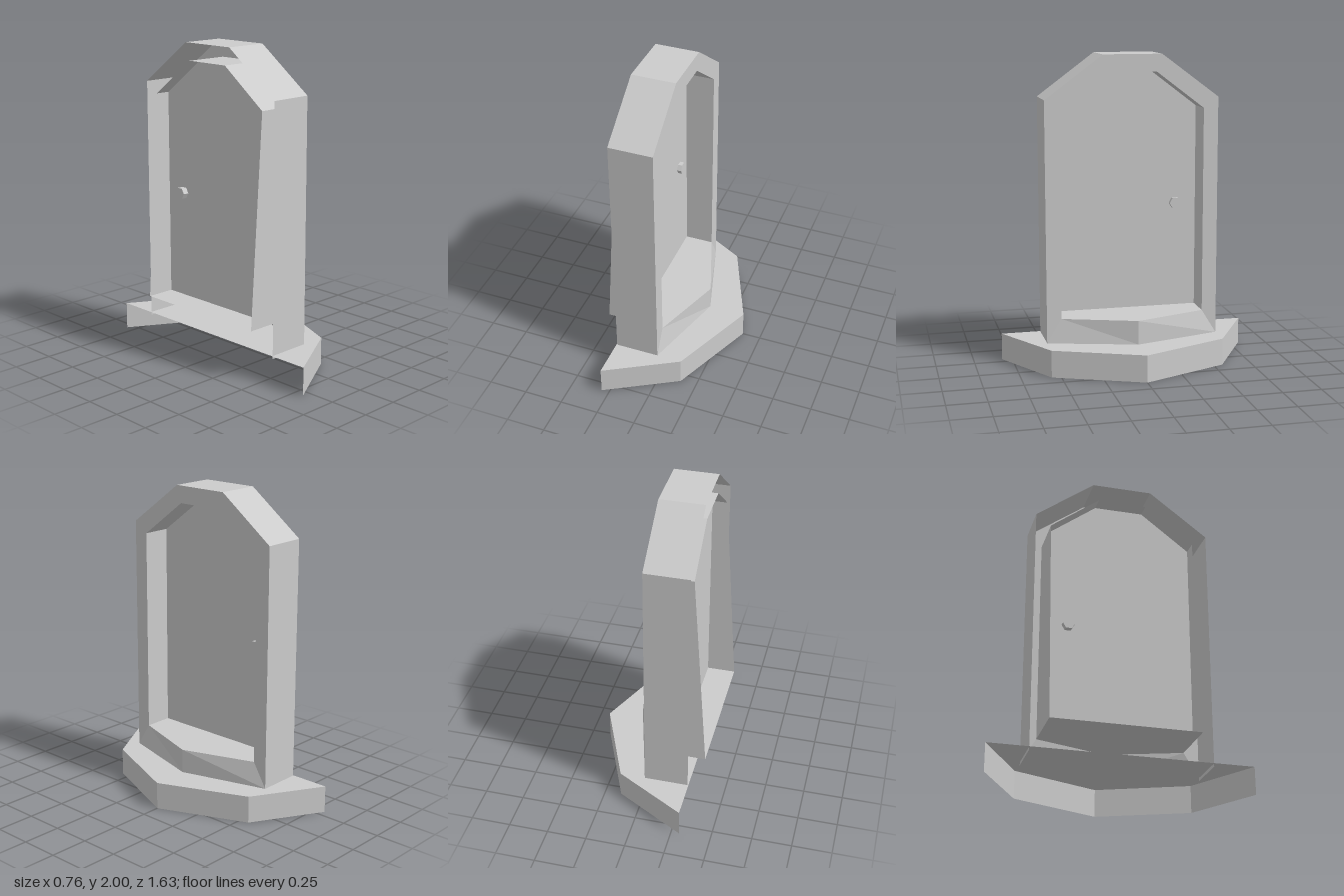
import * as THREE from 'three';

const material = new THREE.MeshStandardMaterial({
  color: 0xcccccc, flatShading: true, side: THREE.DoubleSide,
});

// Strip of flat panels joining two point rows of equal length
function ribbon(a, b) {
  const pos = [];
  for (let i = 0; i < a.length - 1; i++) {
    pos.push(...a[i], ...b[i], ...b[i + 1], ...a[i], ...b[i + 1], ...a[i + 1]);
  }
  const g = new THREE.BufferGeometry();
  g.setAttribute('position', new THREE.Float32BufferAttribute(pos, 3));
  g.computeVertexNormals();
  return g;
}

// Flat outline given as [z, y], facing +x
function panel(points, x) {
  const shape = new THREE.Shape(points.map(([z, y]) => new THREE.Vector2(-z, y)));
  return new THREE.ShapeGeometry(shape).rotateY(Math.PI / 2).translate(x, 0, 0);
}

// Flat outline given as [x, z], facing up
function slab(points, y) {
  const shape = new THREE.Shape(points.map(([x, z]) => new THREE.Vector2(x, -z)));
  return new THREE.ShapeGeometry(shape).rotateX(-Math.PI / 2).translate(0, y, 0);
}

// Arch half profile [z, y] from foot to crown, mirrored into a full arch
const arch = (half) => [...half, ...half.map(([z, y]) => [-z, y]).reverse()];

export function createModel() {
  const model = new THREE.Group();
  const add = (name, geometry) => {
    const mesh = new THREE.Mesh(geometry, material);
    mesh.name = name;
    model.add(mesh);
    return mesh;
  };

  const front = -0.015, back = -0.295, doorX = -0.2;
  const baseY = 0.175, sillY = 0.33;

  // Faceted plinth, open below and behind
  const plinth = [[-0.3, 0.815], [0.145, 0.56], [0.38, 0], [0.145, -0.56], [-0.3, -0.815]];
  add('plinthTop', slab(plinth, baseY));
  add('plinthSides', ribbon(
    plinth.map(([x, z]) => [x, baseY, z]),
    plinth.map(([x, z]) => [x, 0, z])));

  // Outer casing of the door frame
  const outer = arch([[0.56, 0.155], [0.56, 1.725], [0.19, 2]]);
  add('frameCasing', ribbon(
    outer.map(([z, y]) => [back, y, z]),
    outer.map(([z, y]) => [front, y, z])));

  // Front face of the frame, with feet splayed around the step
  const inner = arch([[0.465, sillY], [0.465, 1.655], [0.155, 1.89]]);
  const rim = arch([[0.56, baseY], [0.56, 1.725], [0.19, 2]]);
  add('frameFace', panel([...rim, ...[...inner].reverse()], front));

  // Doorway lining, its rear edge sloping outward to the sill
  const lining = [...inner, inner[0]];
  add('doorwayLining', ribbon(
    lining.map(([z, y]) => [front, y, z]),
    lining.map(([z, y]) => [y === sillY ? -0.385 : back - 0.002, y, z])));

  // Door leaf and hexagonal knob through it
  add('door', panel(inner, doorX));
  const knob = add('doorKnob', new THREE.CylinderGeometry(0.038, 0.038, 0.066, 6)
    .rotateZ(Math.PI / 2));
  knob.position.set(-0.205, 1.02, -0.325);

  // Pointed doorstep
  const stepTop = [[front, 0.465], [0.145, 0], [front, -0.465]];
  const stepFoot = [[front, 0.56], [0.145, 0], [front, -0.56]];
  add('stepTop', slab(stepTop, sillY));
  add('stepSides', ribbon(
    stepTop.map(([x, z]) => [x, sillY, z]),
    stepFoot.map(([x, z]) => [x, baseY, z])));

  return model;
}
